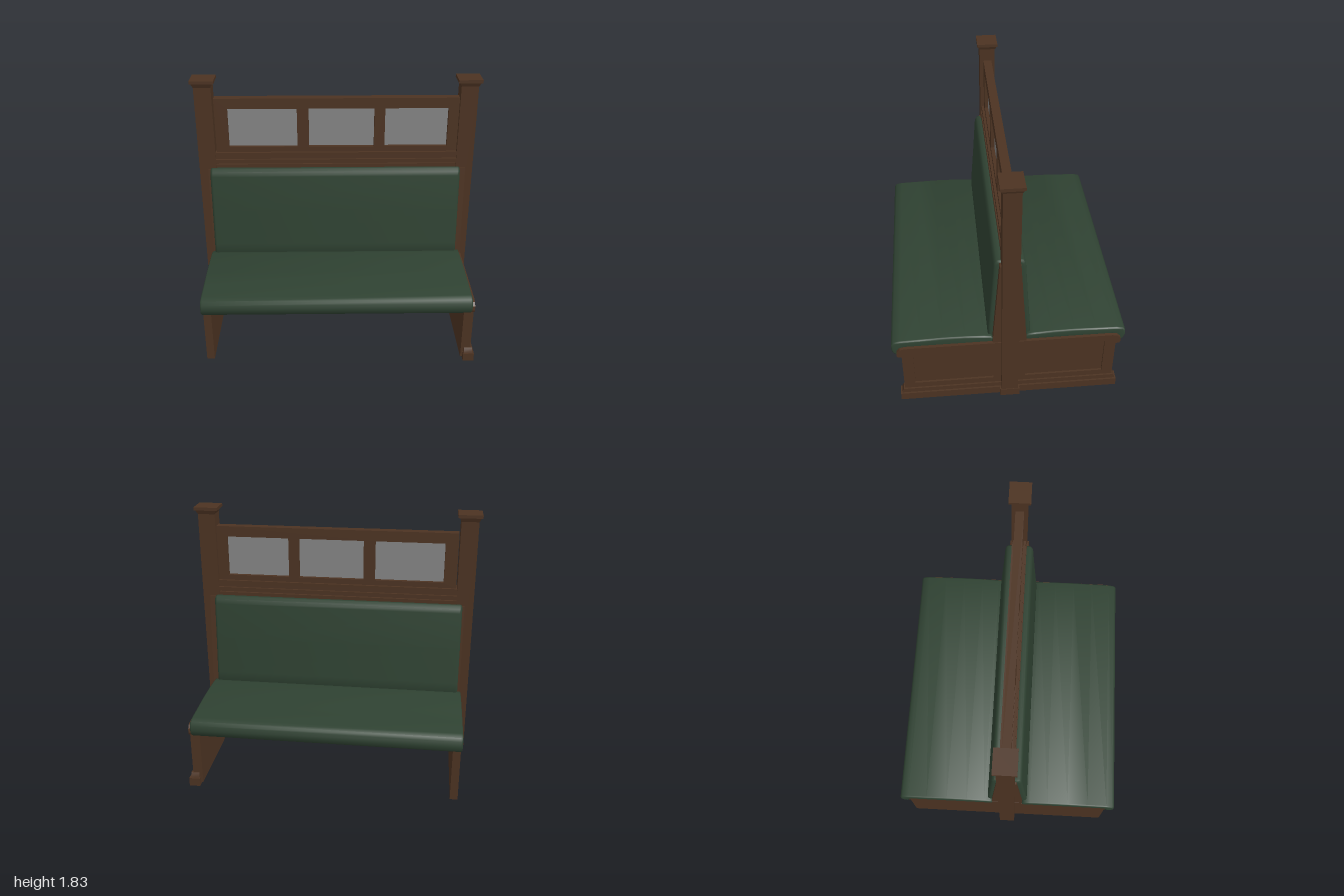
import * as THREE from 'three';
import { toCreasedNormals } from 'three/addons/utils/BufferGeometryUtils.js';

const wood = new THREE.MeshStandardMaterial({ color: 0x4c3322 });
const fabric = new THREE.MeshStandardMaterial({ color: 0x2f4232 });
const glass = new THREE.MeshStandardMaterial({ color: 0x848484 });
wood.name = 'walnutWood';
fabric.name = 'greenUpholstery';
glass.name = 'greyGlass';

export function createModel() {
  const model = new THREE.Group();
  model.name = 'doubleBoothBench';

  const add = (name, geometry, material, parent = model) => {
    const mesh = new THREE.Mesh(geometry, material);
    mesh.name = name;
    parent.add(mesh);
    return mesh;
  };

  // Box given by its limits on each axis
  const box = (name, x0, x1, y0, y1, z0, z1, material = wood, parent = model) => {
    const g = new THREE.BoxGeometry(x1 - x0, y1 - y0, z1 - z0);
    g.translate((x0 + x1) / 2, (y0 + y1) / 2, (z0 + z1) / 2);
    return add(name, g, material, parent);
  };

  // Side profile in (z, y), swept along x; side = -1 mirrors it to the back
  const sweep = (points, x0, x1, side = 1, bevel = 0, holes = []) => {
    const toPath = (pts, Type) => new Type(pts.map(([z, y]) => new THREE.Vector2(z * side, y)));
    const shape = toPath(points, THREE.Shape);
    shape.holes = holes.map((h) => toPath(h, THREE.Path));
    const g = new THREE.ExtrudeGeometry(shape, {
      depth: x1 - x0 - 2 * bevel,
      bevelEnabled: bevel > 0,
      bevelThickness: bevel,
      bevelSize: bevel,
      bevelOffset: -bevel,
      bevelSegments: 3,
    });
    g.rotateY(-Math.PI / 2);
    g.translate(x1 - bevel, 0, 0);
    return toCreasedNormals(g, bevel ? 0.9 : 0.3);
  };

  // Posts with flared caps
  for (const side of [-1, 1]) {
    const post = new THREE.Group();
    post.name = side > 0 ? 'leftPost' : 'rightPost';
    model.add(post);
    const cx = 0.917 * side;
    box('postShaft', cx - 0.06, cx + 0.06, 0.015, 1.79, -0.057, 0.057, wood, post);
    const flare = new THREE.CylinderGeometry(0.073 * Math.SQRT2, 0.06 * Math.SQRT2, 0.03, 4);
    flare.rotateY(Math.PI / 4);
    flare.translate(cx, 1.795, 0);
    add('capFlare', flare.toNonIndexed(), wood, post).geometry.computeVertexNormals();
    box('capTop', cx - 0.083, cx + 0.083, 1.808, 1.83, -0.076, 0.076, wood, post);
  }
  box('postPlinth', 0.85, 0.982, 0, 0.06, -0.068, 0.068);

  // Boards of the central wall, with narrow gaps
  for (const [y0, y1] of [[0.05, 0.188], [0.194, 0.335], [0.342, 0.6], [0.606, 0.9], [0.906, 1.2]]) {
    box('wallBoard', -0.87, 0.87, y0, y1, -0.04, 0.04);
  }

  // Stepped moulding above the backrests
  box('mouldingLower', -0.87, 0.87, 1.212, 1.242, -0.055, 0.055);
  box('mouldingNeck', -0.87, 0.87, 1.24, 1.252, -0.04, 0.04);
  box('mouldingUpper', -0.87, 0.87, 1.25, 1.292, -0.048, 0.048);

  // Window frame and its three panes
  const frame = new THREE.Shape();
  frame.moveTo(-0.85, 1.285).lineTo(0.87, 1.285).lineTo(0.87, 1.69).lineTo(-0.85, 1.69);
  for (const [x0, x1] of [[-0.76, -0.275], [-0.193, 0.267], [0.342, 0.785]]) {
    const hole = new THREE.Path();
    hole.moveTo(x0, 1.33).lineTo(x0, 1.615).lineTo(x1, 1.615).lineTo(x1, 1.33);
    frame.holes.push(hole);
    box('windowPane', x0, x1, 1.33, 1.615, -0.004, 0.004, glass);
  }
  const frameGeometry = new THREE.ExtrudeGeometry(frame, { depth: 0.06, bevelEnabled: false });
  frameGeometry.translate(0, 0, -0.03);
  add('windowFrame', frameGeometry, wood);

  const seatProfile = [
    [0.11, 0.48], [0.71, 0.48], [0.74, 0.465], [0.742, 0.425], [0.755, 0.413], [0.775, 0.416],
    [0.793, 0.435], [0.802, 0.465], [0.8, 0.505], [0.785, 0.527], [0.74, 0.536], [0.6, 0.54],
    [0.45, 0.545], [0.3, 0.543], [0.17, 0.536], [0.125, 0.53], [0.11, 0.515],
  ];
  const backProfile = [
    [0.045, 0.5], [0.13, 0.5], [0.146, 0.525], [0.142, 0.6], [0.122, 0.87], [0.105, 1.13],
    [0.1, 1.16], [0.085, 1.18], [0.06, 1.183], [0.045, 1.175],
  ];
  const bracketProfile = [[0, 0.47], [0.115, 0.47], [0.112, 0.55], [0.068, 1.172], [0, 1.172]];
  const endProfile = [
    [0, 0.015], [0.735, 0.015], [0.735, 0.41], [0.76, 0.412], [0.768, 0.43], [0.765, 0.46],
    [0.745, 0.482], [0.71, 0.49], [0, 0.49],
  ];
  const recess = [[0.11, 0.14], [0.11, 0.43], [0.658, 0.43], [0.658, 0.14]];

  // Seats, backrests and end panels, front and back
  for (const side of [1, -1]) {
    const bench = new THREE.Group();
    bench.name = side > 0 ? 'frontBench' : 'backBench';
    model.add(bench);
    add('seatCushion', sweep(seatProfile, -0.925, 0.91, side, 0.012), fabric, bench);
    add('backCushion', sweep(backProfile, -0.9, 0.885, side, 0.018), fabric, bench);
    add('backBracket', sweep(bracketProfile, -0.915, -0.87, side), wood, bench);
    add('backBracket', sweep(bracketProfile, 0.87, 0.925, side), wood, bench);

    // Plain end panel on one side, framed panel with skirting on the other
    add('plainEndPanel', sweep(endProfile, -0.918, -0.865, side), wood, bench);
    add('endPanelCore', sweep(endProfile, 0.865, 0.918, side), wood, bench);
    add('endPanelFrame', sweep(endProfile, 0.917, 0.932, side, 0, [recess]), wood, bench);
    const skirting = [[0, 0], [0.765, 0], [0.765, 0.06], [0, 0.06]];
    const skirtingTop = [[0, 0.06], [0.757, 0.06], [0.753, 0.075], [0.742, 0.095], [0, 0.095]];
    add('skirting', sweep(skirting, 0.88, 0.955, side), wood, bench);
    add('skirtingTop', sweep(skirtingTop, 0.885, 0.943, side), wood, bench);
  }

  return model;
}
